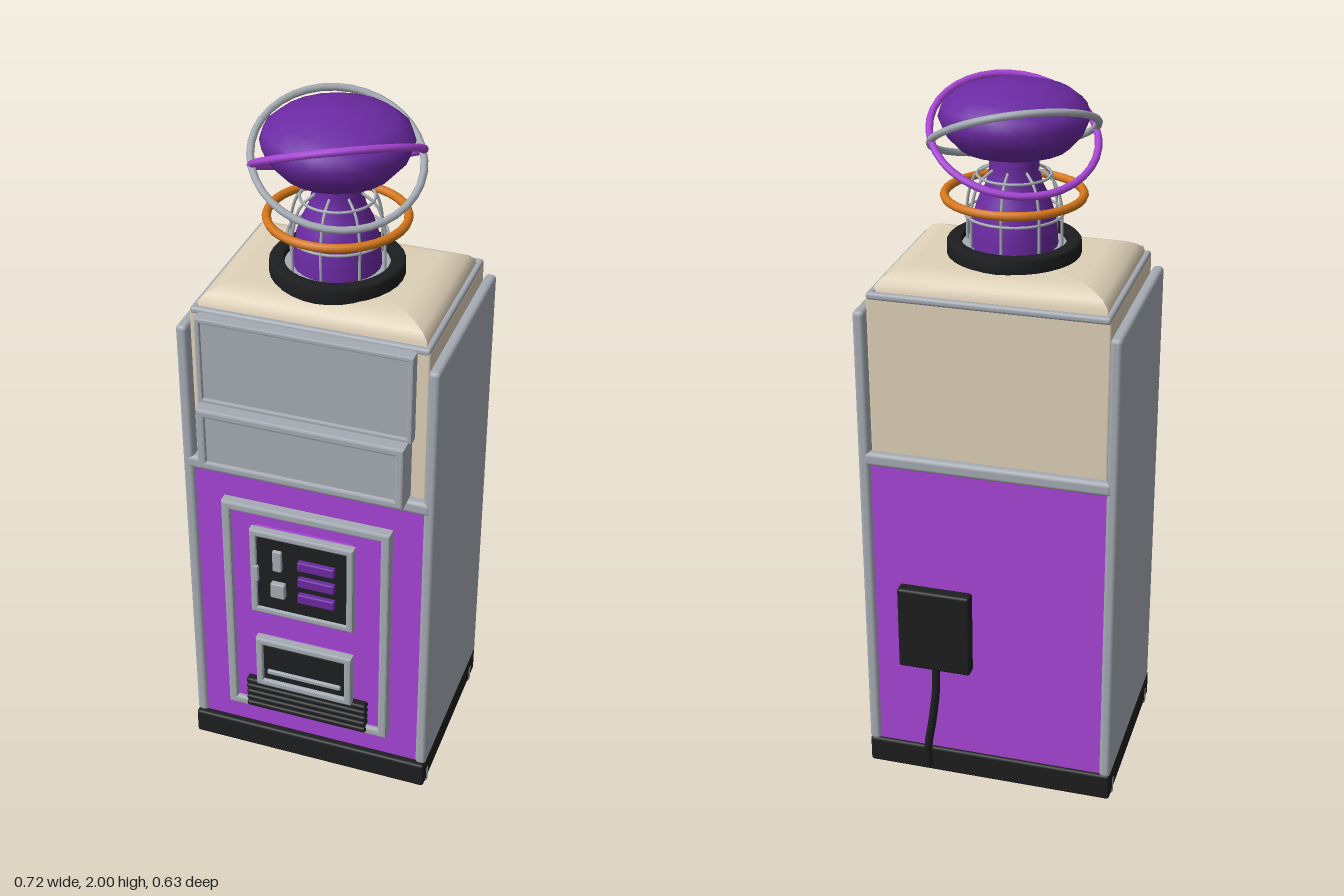
import * as THREE from 'three';
import { RoundedBoxGeometry } from 'three/addons/geometries/RoundedBoxGeometry.js';

const mat = (name, color, side = THREE.FrontSide) => {
  const m = new THREE.MeshStandardMaterial({ color, side });
  m.name = name;
  return m;
};

export function createModel() {
  const group = new THREE.Group();
  const grey = mat('grey metal', 0xa6acb4);
  const purple = mat('bright purple', 0xa845d6);
  const violet = mat('deep violet', 0x6b2aa3);
  const cream = mat('cream', 0xdfd1b8);
  const black = mat('black', 0x1d1e1f);
  const orange = mat('orange', 0xd6781c);

  const add = (name, geometry, material) => {
    const mesh = new THREE.Mesh(geometry, material);
    mesh.name = name;
    group.add(mesh);
    return mesh;
  };
  // Box given by its limits, with optional rounded edges
  const box = (name, m, x0, x1, y0, y1, z0, z1, r = 0) => {
    const s = [x1 - x0, y1 - y0, z1 - z0];
    const g = r ? new RoundedBoxGeometry(...s, 2, r) : new THREE.BoxGeometry(...s);
    g.translate((x0 + x1) / 2, (y0 + y1) / 2, (z0 + z1) / 2);
    return add(name, g, m);
  };
  const rect = (path, x0, x1, y0, y1) =>
    path.moveTo(x0, y0).lineTo(x1, y0).lineTo(x1, y1).lineTo(x0, y1).closePath();
  // Bevelled rectangular frame of width w
  const frame = (name, m, x0, x1, y0, y1, z0, z1, w) => {
    const b = Math.min(0.006, w / 4);
    const shape = new THREE.Shape();
    const hole = new THREE.Path();
    rect(shape, x0 + b, x1 - b, y0 + b, y1 - b);
    rect(hole, x0 + w - b, x1 - w + b, y0 + w - b, y1 - w + b);
    shape.holes.push(hole);
    const g = new THREE.ExtrudeGeometry(shape, {
      depth: z1 - z0 - 2 * b, bevelSize: b, bevelThickness: b, bevelSegments: 2,
    });
    g.translate(0, 0, z0 + b);
    return add(name, g, m);
  };
  const lathe = (name, m, pts, segments) =>
    add(name, new THREE.LatheGeometry(pts.map(p => new THREE.Vector2(...p)), segments), m);
  const ring = (name, m, radius, tube, y, normal = [0, 1, 0]) => {
    const t = add(name, new THREE.TorusGeometry(radius, tube, 8, 36), m);
    t.position.y = y;
    t.quaternion.setFromUnitVectors(new THREE.Vector3(0, 0, 1), new THREE.Vector3(...normal).normalize());
    return t;
  };
  const tube = (name, m, pts, r, segments = 12) => {
    const curve = new THREE.CatmullRomCurve3(pts.map(p => new THREE.Vector3(...p)));
    return add(name, new THREE.TubeGeometry(curve, segments, r, 8), m);
  };

  // Cabinet
  box('base', black, -0.36, 0.36, 0.004, 0.085, -0.288, 0.268, 0.008);
  box('lowerBody', purple, -0.335, 0.335, 0.08, 1.0, -0.277, 0.246);
  box('upperBody', cream, -0.328, 0.328, 1.0, 1.48, -0.268, 0.232, 0.006);
  for (const s of [-1, 1]) {
    const x = s * 0.345;
    box('sidePanel', grey, x - 0.016, x + 0.016, 0.08, 1.44, -0.289, 0.256, 0.012);
    for (const z of [-0.235, 0.225]) {
      const foot = add('foot', new THREE.CylinderGeometry(0.03, 0.03, 0.045, 16), grey);
      foot.position.set(s * 0.332, 0.0225, z);
    }
  }
  box('frontRail', grey, -0.35, 0.35, 0.99, 1.03, 0.22, 0.258, 0.012);
  box('backRail', grey, -0.345, 0.345, 0.99, 1.03, -0.291, -0.26, 0.012);

  // Rim around the roof
  for (const s of [-1, 1]) {
    const x = s * 0.317, z = -0.02 + s * 0.243;
    box('roofRimSide', grey, x - 0.01, x + 0.01, 1.47, 1.49, -0.272, 0.232, 0.008);
    box('roofRimEnd', grey, -0.327, 0.327, 1.47, 1.49, z - 0.01, z + 0.01, 0.008);
  }

  // Domed roof: four curved sides meeting in creased corners
  const profile = [[0.314, 0.229, 1.475], [0.311, 0.226, 1.5], [0.295, 0.212, 1.518],
    [0.265, 0.188, 1.532], [0.23, 0.16, 1.54], [0, 0, 1.542]];
  const corners = [[-1, 1], [1, 1], [1, -1], [-1, -1]];
  corners.forEach((a, i) => {
    const b = corners[(i + 1) % 4], pos = [], index = [];
    profile.forEach(([w, d, y], k) => {
      for (const c of [a, b]) pos.push(c[0] * w, y, c[1] * d - 0.015);
      const n = 2 * k;
      if (k) index.push(n - 2, n - 1, n + 1, n - 2, n + 1, n);
    });
    const g = new THREE.BufferGeometry();
    g.setAttribute('position', new THREE.Float32BufferAttribute(pos, 3));
    g.setIndex(index);
    g.computeVertexNormals();
    add('roofSide', g, cream);
  });

  // Display boxes on the upper front
  box('upperDisplay', grey, -0.293, 0.293, 1.23, 1.482, 0.22, 0.267);
  frame('upperDisplayFrame', grey, -0.297, 0.297, 1.226, 1.486, 0.24, 0.276, 0.014);
  box('lowerDisplay', grey, -0.284, 0.284, 1.045, 1.225, 0.22, 0.306);
  frame('lowerDisplayFrame', grey, -0.289, 0.289, 1.04, 1.23, 0.235, 0.315, 0.024);

  // Front door
  box('door', purple, -0.235, 0.235, 0.18, 0.905, 0.24, 0.262);
  frame('doorFrame', grey, -0.245, 0.245, 0.17, 0.915, 0.24, 0.277, 0.026);

  // Control panel
  box('controlBacking', purple, -0.145, 0.14, 0.58, 0.85, 0.26, 0.282);
  box('controlPlate', black, -0.14, 0.137, 0.585, 0.84, 0.27, 0.296);
  frame('controlFrame', grey, -0.153, 0.15, 0.568, 0.857, 0.275, 0.303, 0.02);
  box('coinSlot', grey, -0.085, -0.058, 0.73, 0.8, 0.29, 0.306, 0.004);
  box('coinReturn', grey, -0.09, -0.048, 0.64, 0.69, 0.29, 0.312, 0.004);
  box('panelHinge', grey, -0.145, -0.128, 0.68, 0.735, 0.29, 0.306, 0.004);
  for (const y of [0.655, 0.712, 0.769])
    box('selectorButton', violet, -0.01, 0.098, y - 0.015, y + 0.015, 0.29, 0.311, 0.004);

  // Dispensing tray
  box('trayBacking', purple, -0.135, 0.135, 0.3, 0.455, 0.26, 0.28);
  box('trayOpening', black, -0.13, 0.13, 0.305, 0.45, 0.27, 0.291);
  frame('trayFrame', grey, -0.145, 0.145, 0.29, 0.465, 0.272, 0.302, 0.021);
  box('trayFlap', black, -0.112, 0.112, 0.365, 0.435, 0.285, 0.296);
  box('trayLip', grey, -0.112, 0.112, 0.335, 0.35, 0.285, 0.299, 0.004);

  // Vent slats
  for (let i = 0; i < 5; i++) {
    const y = 0.188 + i * 0.022;
    box('ventSlat', black, -0.185, 0.185, y - 0.009, y + 0.009, 0.255, 0.286, 0.007);
  }

  // Power box and cable on the back
  box('powerBox', black, 0.045, 0.255, 0.37, 0.625, -0.311, -0.27, 0.008);
  tube('powerCable', black, [[0.15, 0.39, -0.295], [0.15, 0.3, -0.298], [0.16, 0.2, -0.304],
    [0.175, 0.1, -0.304], [0.175, 0.03, -0.298]], 0.012, 16);

  // Collar, neck and head of the rooftop ornament
  lathe('collar', black, [[0.14, 1.53], [0.175, 1.53], [0.18, 1.538], [0.18, 1.573],
    [0.174, 1.58], [0.145, 1.58], [0.14, 1.573], [0.14, 1.53]], 32);
  const plate = add('collarPlate', new THREE.CylinderGeometry(0.142, 0.142, 0.03, 32), grey);
  plate.position.y = 1.548;
  lathe('neck', violet, [[0.118, 1.55], [0.115, 1.6], [0.108, 1.65], [0.095, 1.69],
    [0.075, 1.73], [0.066, 1.77], [0.066, 1.83]], 24);
  lathe('head', violet, [[0, 1.805], [0.07, 1.81], [0.145, 1.83], [0.182, 1.87], [0.198, 1.91],
    [0.188, 1.942], [0.15, 1.972], [0.08, 1.994], [0, 2]], 20);

  // Wire cage around the neck
  for (let i = 0; i < 8; i++) {
    const a = (i / 8) * Math.PI * 2;
    const wire = [[0.13, 1.56], [0.13, 1.62], [0.128, 1.68], [0.105, 1.745], [0.06, 1.775]];
    tube('cageWire', grey, wire.map(([r, y]) => [r * Math.cos(a), y, r * Math.sin(a)]), 0.004);
  }
  ring('cageRing', grey, 0.131, 0.004, 1.65);
  ring('cageRing', grey, 0.098, 0.004, 1.755);

  // Level ring and two crossed orbit rings
  ring('levelRing', orange, 0.184, 0.012, 1.7);
  const t = Math.PI / 6.2;
  for (const [name, m, s] of [['greyOrbit', grey, 1], ['purpleOrbit', purple, -1]])
    ring(name, m, 0.221, 0.01, 1.862, [s * 0.5 * Math.sin(t), Math.cos(t), s * 0.866 * Math.sin(t)]);

  return group;
}
